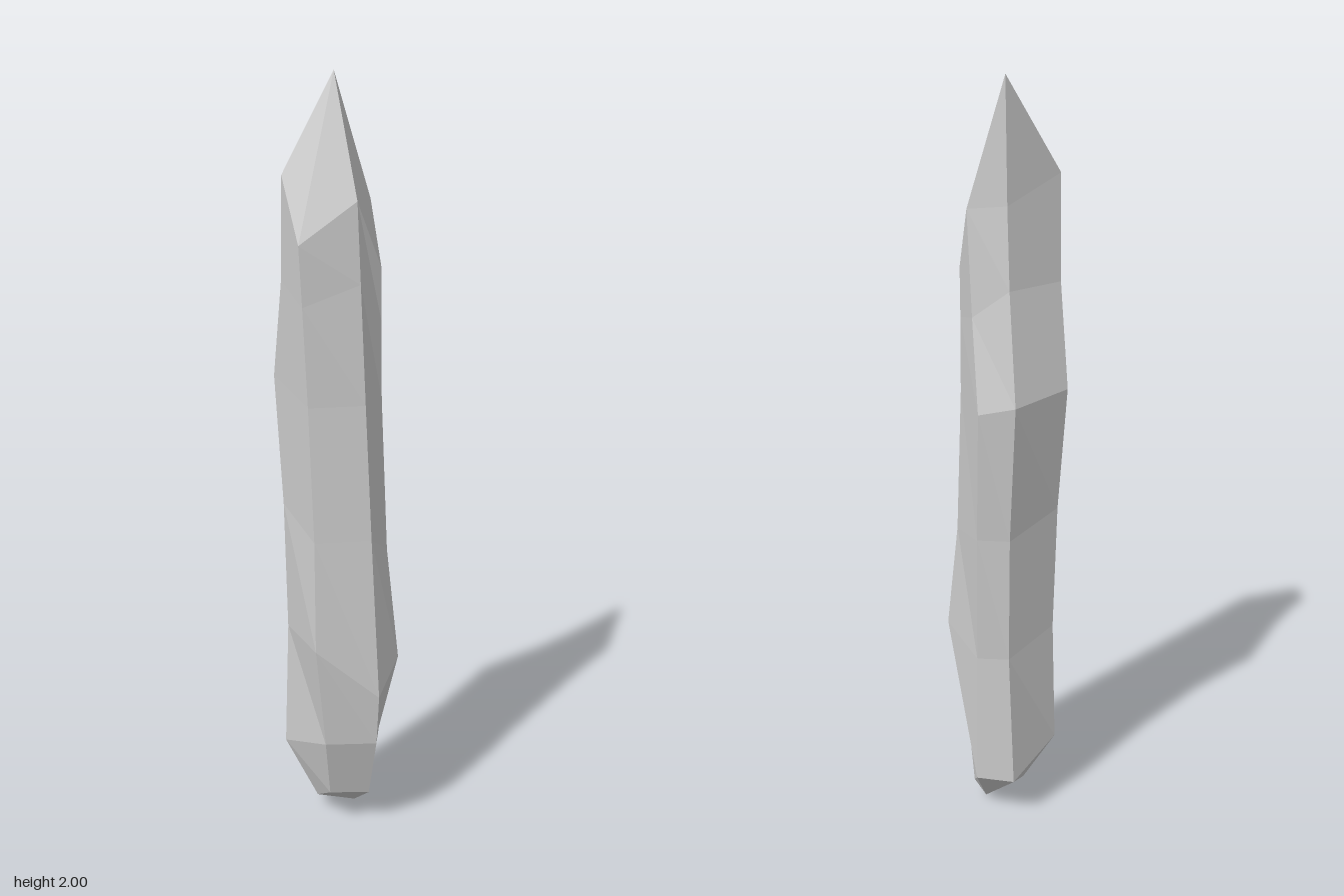
import * as THREE from 'three';

// Six long ridges of the shard, each listed from shoulder to foot as x, y, z
const ridges = [
  // left
  [[-.137, 1.76, .015], [-.14, 1.5, -.015], [-.16, 1.24, -.07], [-.14, .9, -.035], [-.132, .55, -.03], [-.142, .2, -.03], [-.055, .04, 0]],
  // back left
  [[-.01, 1.7, -.09], [-.016, 1.5, -.113], [-.032, 1.22, -.164], [-.018, .85, -.137], [-.016, .5, -.13], [-.03, .13, -.156], [.05, 0, -.035]],
  // back right
  [[.087, 1.69, -.072], [.075, 1.43, -.095], [.06, 1.2, -.154], [.066, .85, -.131], [.068, .5, -.126], [.07, .14, -.152], [.08, .085, -.08]],
  // right
  [[.109, 1.53, .005], [.109, 1.4, .012], [.111, 1.2, .025], [.126, .8, .053], [.157, .5, .075], [.11, .28, .055], [.08, .08, .03]],
  // front right
  [[.045, 1.7, .05], [.053, 1.5, .066], [.065, 1.2, .09], [.08, .85, .119], [.1, .42, .156], [.095, .28, .147], [.08, .1, .095]],
  // front left
  [[-.1, 1.6, .087], [-.092, 1.45, .093], [-.08, 1.2, .105], [-.067, .85, .131], [-.066, .56, .165], [-.04, .28, .146], [-.025, .1, .09]],
];
const tip = [-.005, 2, -.071];

export function createModel() {
  const pos = [];
  const tri = (...corners) => corners.forEach(p => pos.push(...p));
  const levels = ridges[0].length;

  ridges.forEach((a, i) => {
    const b = ridges[(i + 1) % ridges.length];
    // pointed top
    tri(tip, b[0], a[0]);
    // long faces between neighbouring ridges
    for (let k = 0; k < levels - 1; k++) {
      tri(b[k], b[k + 1], a[k + 1]);
      tri(b[k], a[k + 1], a[k]);
    }
  });
  // slanting gap above the low right shoulder
  tri(tip, ridges[3][0], ridges[2][0]);

  // chipped foot, fanned from its lowest corner
  const foot = ridges.map(r => r[levels - 1]);
  for (let i = 2; i < 6; i++) tri(foot[1], foot[i], foot[(i + 1) % 6]);

  const geometry = new THREE.BufferGeometry();
  geometry.setAttribute('position', new THREE.Float32BufferAttribute(pos, 3));
  geometry.computeVertexNormals();

  const crystal = new THREE.Mesh(geometry,
    new THREE.MeshStandardMaterial({ color: 0xcccccc, flatShading: true }));
  crystal.name = 'crystalShard';
  const group = new THREE.Group();
  group.name = 'crystal';
  group.add(crystal);
  return group;
}
